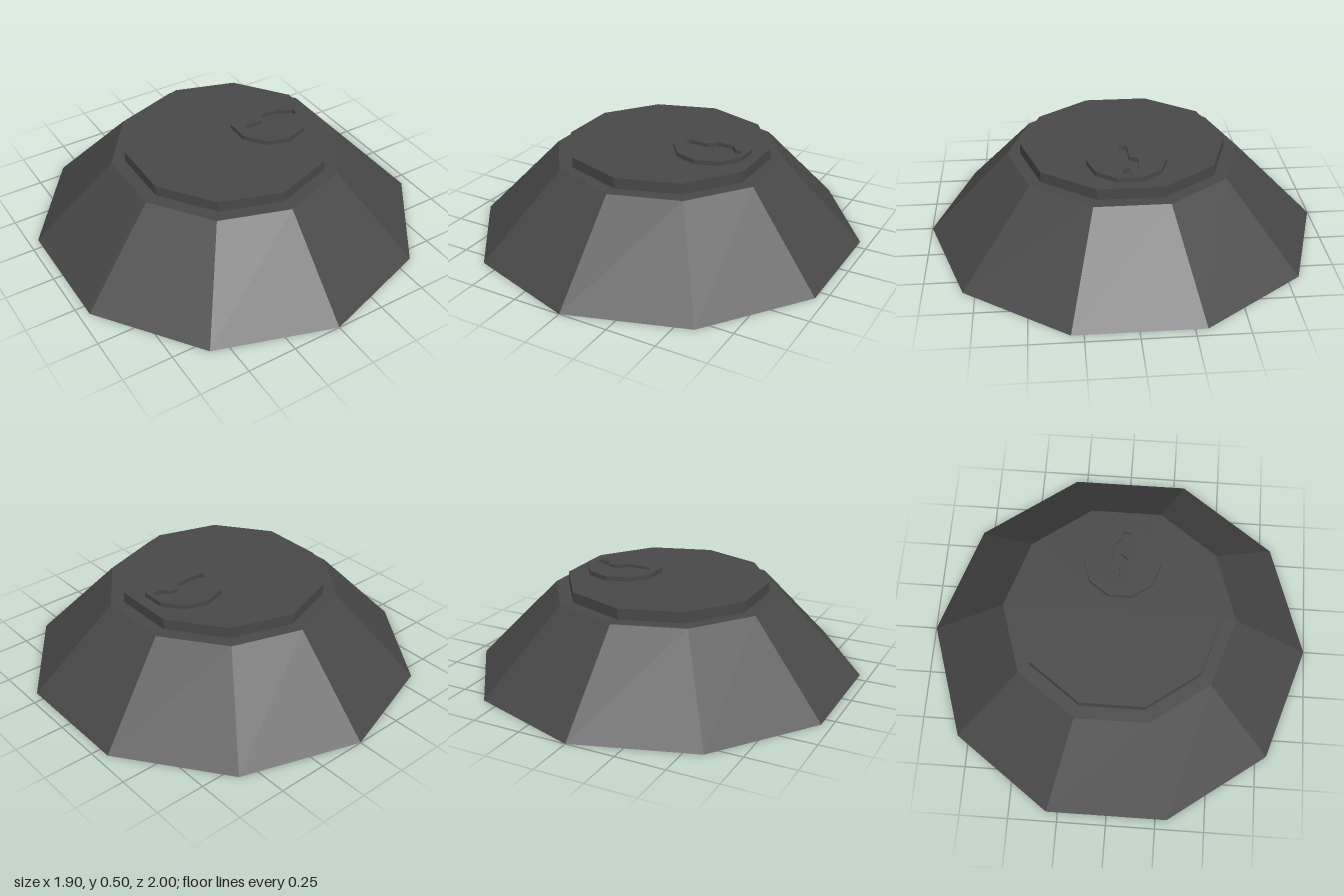
import * as THREE from 'three';

export function createModel() {
  const model = new THREE.Group();
  const darkGrey = new THREE.MeshStandardMaterial({ color: 0x484848 });
  darkGrey.name = 'darkGrey';
  darkGrey.flatShading = true;

  const SIDES = 10;
  const SHOULDER = 0.425, PLATE_TOP = 0.48, CAP_TOP = 0.503;

  function add(name, geometry, x, y, z) {
    const mesh = new THREE.Mesh(geometry, darkGrey);
    mesh.name = name;
    mesh.position.set(x, y, z);
    model.add(mesh);
  }

  // Ten-sided tapered body and the raised plate on its shoulder
  add('body', new THREE.CylinderGeometry(0.588, 1, SHOULDER, SIDES), 0, SHOULDER / 2, 0);
  const plateHeight = PLATE_TOP - SHOULDER;
  add('topPlate', new THREE.CylinderGeometry(0.52, 0.52, plateHeight, SIDES), 0, SHOULDER + plateHeight / 2, 0);

  // Small cap with a crooked slot cut through to the plate
  const outline = [];
  for (let i = 0; i < SIDES; i++) {
    const a = Math.PI / 2 + (i / SIDES) * Math.PI * 2;
    outline.push(new THREE.Vector2(0.197 * Math.cos(a), 0.197 * Math.sin(a)));
  }
  const capShape = new THREE.Shape(outline);
  const slot = [
    [-0.135, -0.03], [-0.14, -0.008], [-0.13, 0.012], [-0.03, 0.012],
    [0, 0.055], [0.09, 0.05], [0.122, 0.012], [0.16, 0.012],
    [0.16, -0.03], [0.112, -0.03], [0.09, 0.01], [0.04, 0.01], [0.01, -0.03],
  ].map(([x, y]) => new THREE.Vector2(x, y));
  capShape.holes.push(new THREE.Path(slot));
  const cap = new THREE.ExtrudeGeometry(capShape, { depth: CAP_TOP - PLATE_TOP, bevelEnabled: false });
  cap.rotateX(-Math.PI / 2);
  add('slottedCap', cap, 0.25, PLATE_TOP, 0);

  return model;
}
